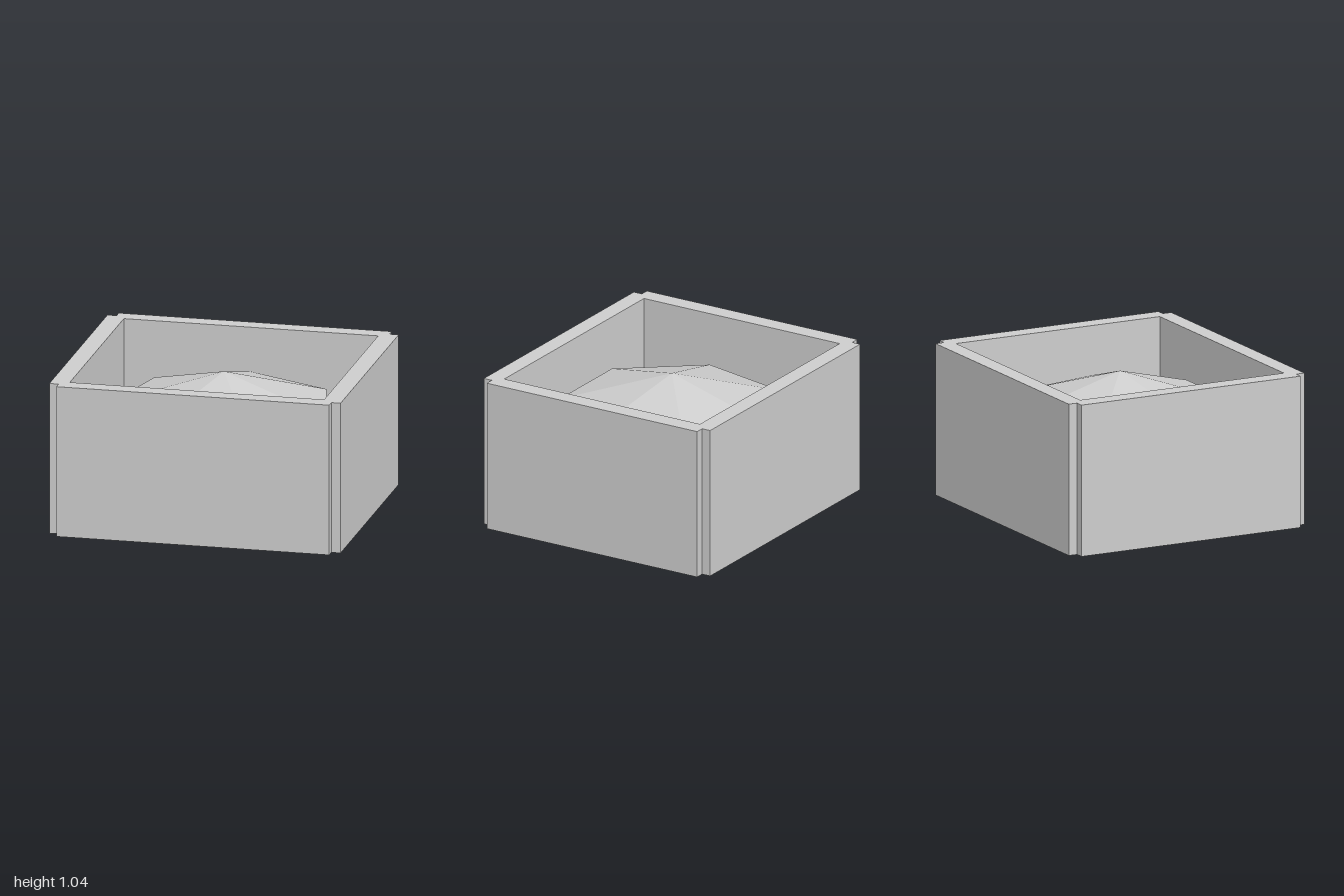
import * as THREE from 'three';

const HEIGHT = 1.043;

export function createModel() {
  const model = new THREE.Group();
  const grey = new THREE.MeshStandardMaterial({ color: 0xcccccc, flatShading: true });
  grey.name = 'light grey';

  // Four-sided open frame: plan outline with notched corners and a rectangular hole
  const corner = [[1, 0.831], [0.937, 0.831], [0.937, 0.894]];
  const mirrored = (sx, sy) => corner.map(([x, y]) => new THREE.Vector2(x * sx, y * sy));
  const outline = new THREE.Shape([
    ...mirrored(1, 1),
    ...mirrored(-1, 1).reverse(),
    ...mirrored(-1, -1),
    ...mirrored(1, -1).reverse(),
  ]);
  const [hx, hz] = [0.873, 0.773];
  outline.holes.push(new THREE.Path([
    new THREE.Vector2(-hx, -hz), new THREE.Vector2(-hx, hz),
    new THREE.Vector2(hx, hz), new THREE.Vector2(hx, -hz),
  ]));
  const frameGeometry = new THREE.ExtrudeGeometry(outline, { depth: HEIGHT, bevelEnabled: false });
  frameGeometry.rotateX(-Math.PI / 2);
  const frame = new THREE.Mesh(frameGeometry, grey);
  frame.name = 'wallFrame';
  model.add(frame);

  // Flattened seven-sided boulder floating in the middle of the frame
  const boulderGeometry = new THREE.SphereGeometry(0.873, 7, 3, -Math.PI / 2);
  boulderGeometry.scale(1, 0.5, 1);
  const boulder = new THREE.Mesh(boulderGeometry, grey);
  boulder.name = 'boulder';
  boulder.position.y = HEIGHT / 2;
  model.add(boulder);

  return model;
}
